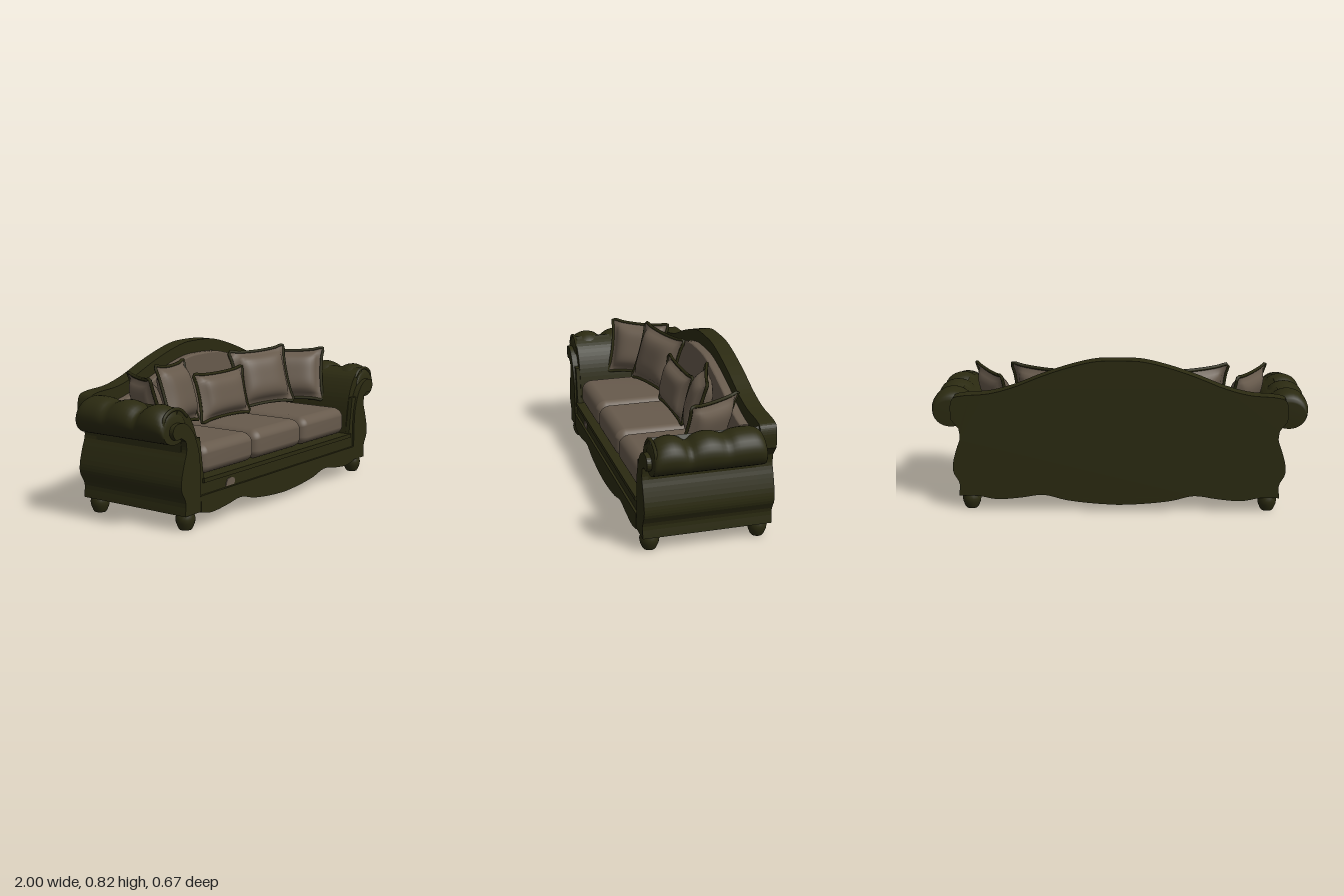
import * as THREE from 'three';
import { mergeVertices } from 'three/addons/utils/BufferGeometryUtils.js';
import { RoundedBoxGeometry } from 'three/addons/geometries/RoundedBoxGeometry.js';

const olive = new THREE.MeshStandardMaterial({ color: 0x2b2a11, side: THREE.DoubleSide });
olive.name = 'olive upholstery';
const taupe = new THREE.MeshStandardMaterial({ color: 0x675a4c, side: THREE.DoubleSide });
taupe.name = 'taupe cushion fabric';

function add(parent, name, geometry, material, x = 0, y = 0, z = 0) {
  const mesh = new THREE.Mesh(geometry, material);
  mesh.name = name;
  mesh.position.set(x, y, z);
  parent.add(mesh);
  return mesh;
}

// Smooth points through a few control points
function smooth(points, n = 28) {
  return new THREE.CatmullRomCurve3(points.map(([x, y]) => new THREE.Vector3(x, y, 0)))
    .getPoints(n).map((p) => new THREE.Vector2(p.x, p.y));
}

// Half outline on +x mirrored to a full closed shape
function mirrored(half) {
  const other = half.map((p) => new THREE.Vector2(-p.x, p.y)).reverse();
  return new THREE.Shape([...half, ...other]);
}

// Extrusion between two z planes
function slab(shape, z0, z1) {
  const g = new THREE.ExtrudeGeometry(shape, { depth: z1 - z0, bevelEnabled: false });
  return g.translate(0, 0, z0);
}

const hem = smooth([[0, 0.035], [0.13, 0.042], [0.28, 0.06], [0.4, 0.088], [0.52, 0.072],
  [0.65, 0.062], [0.75, 0.08], [0.85, 0.08]]);
const side = smooth([[0.85, 0.08], [0.845, 0.15], [0.875, 0.21], [0.876, 0.26], [0.855, 0.34],
  [0.835, 0.4], [0.84, 0.45]], 20);
const crest = smooth([[0.88, 0.5], [0.88, 0.58], [0.865, 0.615], [0.82, 0.628], [0.68, 0.64],
  [0.55, 0.675], [0.4, 0.735], [0.25, 0.785], [0.12, 0.815], [0, 0.82]], 40);

// Bolster roll with scalloped top, built from rings along z
function rollGeometry() {
  const profile = smooth([[0.31, 0.545], [0.3, 0.585], [0.27, 0.612], [0.22, 0.626], [0.17, 0.615], [0.132, 0.592],
    [0.09, 0.617], [0.04, 0.63], [-0.01, 0.624], [-0.055, 0.61], [-0.1, 0.626], [-0.16, 0.63],
    [-0.21, 0.625], [-0.24, 0.605], [-0.25, 0.58]], 44);
  const n = 28, pos = [], idx = [];
  profile.forEach((p, i) => {
    const low = 0.438, cy = (p.y + low) / 2, ry = (p.y - low) / 2;
    const rx = 0.045 + ry * 0.63;
    for (let j = 0; j < n; j++) {
      const a = (j / n) * Math.PI * 2;
      pos.push(0.895 + Math.cos(a) * rx, cy + Math.sin(a) * ry, p.x);
      if (i) {
        const k = (j + 1) % n, b = (i - 1) * n, c = i * n;
        idx.push(b + j, c + j, b + k, b + k, c + j, c + k);
      }
    }
  });
  // End caps
  for (const [row, flip] of [[0, false], [profile.length - 1, true]]) {
    const c = pos.length / 3;
    pos.push(0.895, row ? 0.51 : 0.495, profile[row].x);
    for (let j = 0; j < n; j++) {
      const a = row * n + j, b = row * n + (j + 1) % n;
      idx.push(c, flip ? b : a, flip ? a : b);
    }
  }
  const g = new THREE.BufferGeometry();
  g.setAttribute('position', new THREE.Float32BufferAttribute(pos, 3));
  g.setIndex(idx);
  g.computeVertexNormals();
  return g;
}

// Rim of a pillow: edges pulled in, corners left sharp
const rim = (u, v, w, h) => [u * w / 2 * (1 - 0.07 * (1 - v * v)), v * h / 2 * (1 - 0.08 * (1 - u * u))];

function pillow(parent, name, w, h, d, pos, yaw, tilt, roll = 0) {
  const group = new THREE.Group();
  group.name = name;
  group.rotation.set(tilt, yaw, roll, 'YXZ');
  group.position.set(...pos);
  parent.add(group);
  // Stuffed face with flat flange, one per side
  for (const s of [1, -1]) {
    const g = new THREE.PlaneGeometry(2, 2, 20, 20), p = g.attributes.position;
    for (let i = 0; i < p.count; i++) {
      const u = p.getX(i), v = p.getY(i);
      const a = Math.max(0, 1 - (u / 0.88) ** 4), b = Math.max(0, 1 - (v / 0.86) ** 4);
      const [x, y] = rim(u, v, w, h);
      p.setXYZ(i, x * s, y, s * (0.003 + d / 2 * Math.pow(a * b, 0.6)));
    }
    g.computeVertexNormals();
    add(group, s > 0 ? 'pillowFront' : 'pillowBack', g, taupe);
  }
  // Trim around the edge
  const pts = [];
  for (const [ax, ay, bx, by] of [[-1, -1, 1, -1], [1, -1, 1, 1], [1, 1, -1, 1], [-1, 1, -1, -1]]) {
    for (let i = 0; i < 6; i++) {
      const t = i / 6, [x, y] = rim(ax + (bx - ax) * t, ay + (by - ay) * t, w, h);
      pts.push(new THREE.Vector3(x, y, 0));
    }
  }
  const curve = new THREE.CatmullRomCurve3(pts, true);
  add(group, 'pillowTrim', new THREE.TubeGeometry(curve, 72, 0.009, 6, true), olive);
}

// Seat cushion with crowned top and bulging front
function seatGeometry() {
  let g = new RoundedBoxGeometry(0.445, 0.145, 0.5, 6, 0.045);
  const p = g.attributes.position;
  for (let i = 0; i < p.count; i++) {
    const x = p.getX(i), y = p.getY(i), z = p.getZ(i);
    const cx = 1 - (x / 0.2225) ** 2, cz = 1 - (z / 0.25) ** 2, cy = 1 - (y / 0.0725) ** 2;
    p.setXYZ(i, x, y + (y > 0 ? 0.025 * Math.max(cx, 0) + 0.006 * cz : 0), z + (z > 0 ? 0.015 * cx + 0.012 * cy : 0));
  }
  g.deleteAttribute('normal');
  g.deleteAttribute('uv');
  g = mergeVertices(g, 1e-4);
  g.computeVertexNormals();
  return g;
}

export function createModel() {
  const sofa = new THREE.Group();
  sofa.name = 'sofa';

  // Body with wavy hem, bowed sides and a seat well
  const well = [new THREE.Vector2(0.72, 0.45), new THREE.Vector2(0.69, 0.24), new THREE.Vector2(0, 0.24)];
  add(sofa, 'body', slab(mirrored([...hem, ...side.slice(1), ...well]), -0.33, 0.322), olive);

  // Front skirt below the rail
  const skirtTop = [new THREE.Vector2(0.73, 0.16), new THREE.Vector2(0, 0.16)];
  add(sofa, 'frontSkirt', slab(mirrored([...hem.filter((p) => p.x < 0.73), ...skirtTop]), 0.32, 0.335), olive);
  add(sofa, 'frontRailLip', new THREE.BoxGeometry(1.4, 0.022, 0.012), olive, 0, 0.23, 0.326);

  // Camel back
  const backTop = mirrored([...hem, ...side.slice(1), ...crest]);
  add(sofa, 'backFrame', slab(backTop, -0.335, -0.25), olive);
  const inner = crest.filter((p) => p.x < 0.72 && p.y > 0.6).map((p) => new THREE.Vector2(p.x, p.y - 0.075));
  const padShape = mirrored([new THREE.Vector2(0, 0.26), new THREE.Vector2(0.72, 0.26), ...inner]);
  const pad = new THREE.ExtrudeGeometry(padShape, { depth: 0.03, bevelEnabled: true, bevelSize: 0.008,
    bevelThickness: 0.012, bevelSegments: 3 });
  add(sofa, 'backPad', pad, taupe, 0, 0, -0.245);

  // Seat cushions
  for (const i of [-1, 0, 1]) add(sofa, 'seatCushion', seatGeometry(), taupe, i * 0.452, 0.315, 0.04);

  // Arms: inner slope, bolster roll, scrolled front panel
  const slope = [...smooth([[0.69, 0.24], [0.70, 0.36], [0.725, 0.47], [0.775, 0.56], [0.85, 0.61]], 18),
    new THREE.Vector2(0.9, 0.53), new THREE.Vector2(0.84, 0.44), new THREE.Vector2(0.83, 0.24)];
  const panel = [...smooth([[0.73, 0.08], [0.73, 0.28], [0.74, 0.38], [0.78, 0.48], [0.83, 0.53], [0.88, 0.543],
    [0.925, 0.53], [0.935, 0.495], [0.91, 0.465], [0.875, 0.47]], 36), ...[...side].reverse()];
  const foot = new THREE.LatheGeometry([[0, 0], [0.03, 0], [0.036, 0.008], [0.047, 0.035], [0.05, 0.055],
    [0.046, 0.07], [0.04, 0.09]].map(([r, y]) => new THREE.Vector2(r, y)), 20);
  const roll = rollGeometry();
  for (const s of [1, -1]) {
    const arm = new THREE.Group();
    arm.name = s > 0 ? 'leftArm' : 'rightArm';
    arm.scale.x = s;
    sofa.add(arm);
    add(arm, 'armInnerSlope', slab(new THREE.Shape(slope), -0.25, 0.3), olive);
    add(arm, 'armRoll', roll, olive);
    add(arm, 'armFrontPanel', slab(new THREE.Shape(panel), 0.29, 0.333), olive);
    // Scroll line on the roll front
    const scroll = new THREE.CatmullRomCurve3([[0.79, 0.56], [0.84, 0.6], [0.9, 0.605], [0.955, 0.575], [0.965, 0.52],
      [0.93, 0.475], [0.885, 0.475]].map(([x, y]) => new THREE.Vector3(x, y, 0.298)));
    add(arm, 'armScroll', new THREE.TubeGeometry(scroll, 30, 0.009, 6), olive);
    for (const z of [0.285, -0.28]) add(arm, 'foot', foot, olive, 0.79, 0, z);
  }

  // Throw pillows
  pillow(sofa, 'centrePillow', 0.44, 0.26, 0.11, [0, 0.53, -0.085], 0, -0.22);
  for (const s of [1, -1]) {
    pillow(sofa, 'middlePillow', 0.39, 0.33, 0.12, [s * 0.385, 0.58, -0.09], -s * 0.32, -0.28, s * 0.04);
    pillow(sofa, 'outerPillow', 0.34, 0.31, 0.11, [s * 0.67, 0.565, -0.05], -s * 1.05, -0.3, s * 0.03);
  }

  // Small fabric patch on the front rail
  const patch = new THREE.Shape(smooth([[-0.515, 0.165], [-0.5, 0.198], [-0.46, 0.203], [-0.44, 0.19], [-0.443, 0.165]], 12));
  add(sofa, 'railPatch', slab(patch, 0.32, 0.326), taupe);

  return sofa;
}
